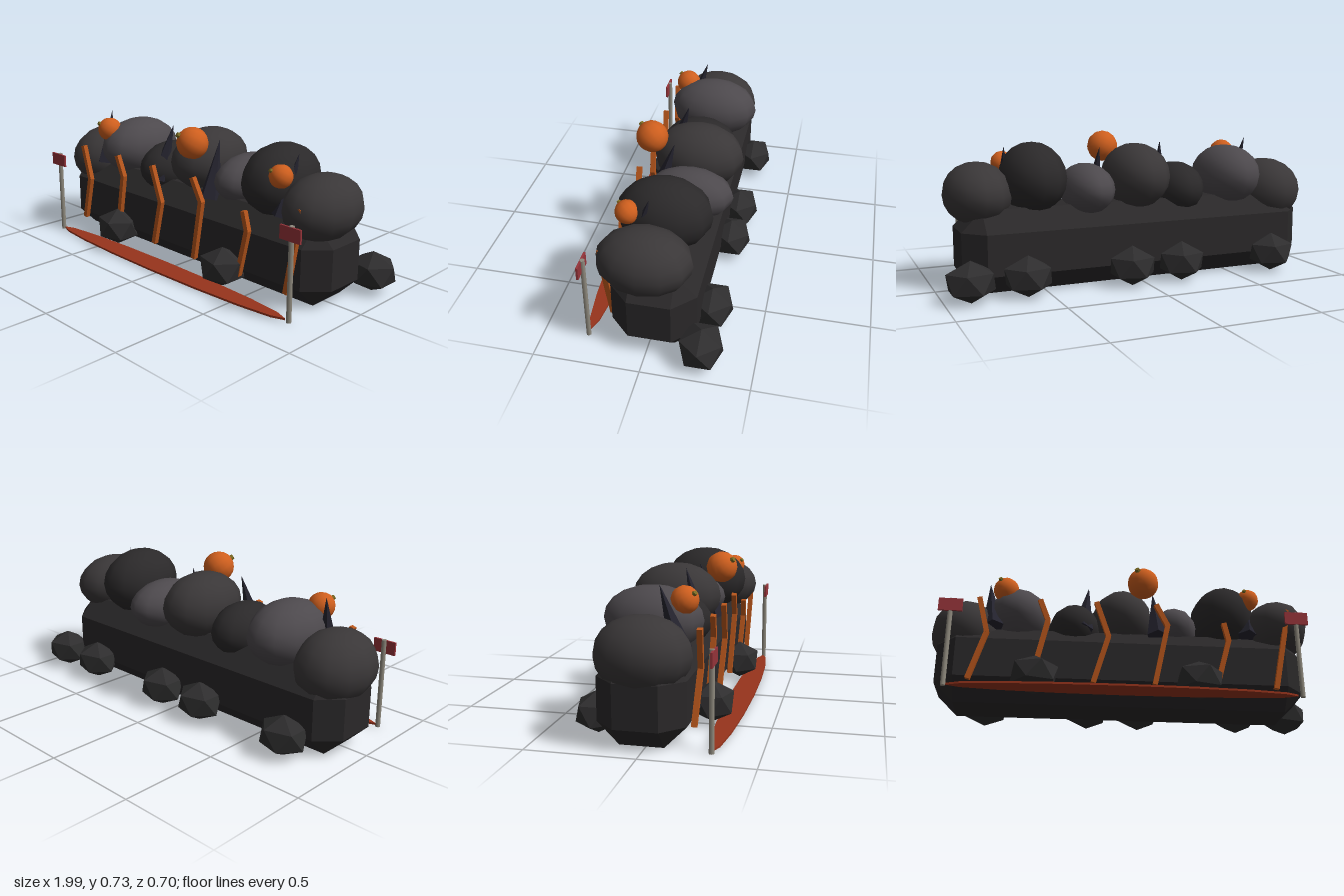
import * as THREE from 'three';
import { ConvexGeometry } from 'three/addons/geometries/ConvexGeometry.js';

const Y = new THREE.Vector3(0, 1, 0);
const mat = (color, flatShading = false) => new THREE.MeshStandardMaterial({ color, flatShading });

export function createModel() {
  const model = new THREE.Group();
  const add = (name, geometry, material, x = 0, y = 0, z = 0, parent = model) => {
    const mesh = new THREE.Mesh(geometry, material);
    mesh.name = name;
    mesh.position.set(x, y, z);
    parent.add(mesh);
    return mesh;
  };
  // Stands a y-aligned geometry between two points
  const between = (name, geometry, material, a, b) => {
    const mesh = add(name, geometry, material);
    mesh.position.copy(a).add(b).multiplyScalar(0.5);
    mesh.quaternion.setFromUnitVectors(Y, b.clone().sub(a).normalize());
    return mesh;
  };

  // Long base block, every edge chamfered
  const half = [0.92, 0.2, 0.2], chamfer = 0.1, corners = [];
  for (const sx of [-1, 1]) for (const sy of [-1, 1]) for (const sz of [-1, 1])
    for (let axis = 0; axis < 3; axis++) {
      const p = half.map((h, i) => (i === axis ? h : h - chamfer));
      corners.push(new THREE.Vector3(p[0] * sx, p[1] * sy, p[2] * sz));
    }
  add('baseBlock', new ConvexGeometry(corners), mat(0x2a2829, true), -0.03, 0.2, -0.02);

  // Row of boulders: centre, radii, colour
  const dark = mat(0x2b292a), mid = mat(0x3a3738), light = mat(0x4d494d);
  const boulderGeo = new THREE.SphereGeometry(1, 12, 10);
  [
    [-0.82, 0.40, -0.02, 0.18, 0.17, 0.22, mid],
    [-0.56, 0.50, -0.04, 0.165, 0.155, 0.235, light],
    [-0.27, 0.44, -0.02, 0.135, 0.135, 0.195, dark],
    [-0.02, 0.52, -0.06, 0.165, 0.165, 0.23, mid],
    [0.25, 0.47, -0.07, 0.13, 0.125, 0.215, light],
    [0.51, 0.53, -0.01, 0.165, 0.175, 0.225, dark],
    [0.78, 0.463, 0.02, 0.168, 0.153, 0.22, mid],
  ].forEach(([x, y, z, rx, ry, rz, m]) => {
    add('boulder', boulderGeo, m, x, y, z).scale.set(rx, ry, rz);
  });

  // Faceted rocks on the ground, two in front and five behind
  const rockGeo = new THREE.IcosahedronGeometry(1, 0);
  rockGeo.rotateZ(-Math.atan(2 / (1 + Math.sqrt(5))));
  rockGeo.scale(0.128, 0.1, 0.112);
  const rockMat = mat(0x2e2d2e, true);
  for (const x of [-0.46, 0.34]) add('frontRock', rockGeo, rockMat, x, 0.1, 0.215);
  for (const x of [-0.72, -0.19, 0.08, 0.61, 0.88]) add('backRock', rockGeo, rockMat, x, 0.1, -0.257);

  // Bent straps running up the front: top, bend and bottom in x, y
  const strapMat = mat(0xb8561c, true);
  [
    [-0.745, 0.5, -0.70, 0.32, -0.775, 0.08],
    [-0.445, 0.5, -0.405, 0.395, -0.475, 0.08],
    [-0.165, 0.5, -0.105, 0.32, -0.175, 0.08],
    [0.135, 0.5, 0.19, 0.39, 0.125, 0.08],
    [0.475, 0.41, 0.495, 0.32, 0.43, 0.08],
    [0.80, 0.5, 0.785, 0.38, 0.725, 0.08],
  ].forEach(([tx, ty, bx, by, fx, fy]) => {
    const top = new THREE.Vector3(tx, ty, 0.212);
    const bend = new THREE.Vector3(bx, by, 0.208);
    const foot = new THREE.Vector3(fx, fy, 0.195);
    for (const [a, b] of [[foot, bend], [bend, top]])
      between('strap', new THREE.BoxGeometry(0.025, a.distanceTo(b) + 0.008, 0.025), strapMat, a, b);
  });

  // Dark spikes leaning back between the boulders
  const spikeGeo = new THREE.ConeGeometry(0.055, 0.3, 5);
  const spikeMat = mat(0x25242f, true);
  for (const [bx, tx, ty] of [[-0.68, -0.715, 0.68], [-0.23, -0.2, 0.68], [0.15, 0.14, 0.66], [0.62, 0.64, 0.68]])
    between('spike', spikeGeo, spikeMat,
      new THREE.Vector3(bx, ty - 0.28, 0.11), new THREE.Vector3(tx, ty, 0.03));

  // Round orange fruit, each with a stub of stem pointing forward
  const fruitMat = mat(0xcf5f1e), stemMat = mat(0x7c6c24, true);
  const stemDir = new THREE.Vector3(-0.42, 0.52, 0.74).normalize();
  for (const [x, y, z, r] of [[-0.625, 0.603, 0.12, 0.065], [0.075, 0.655, 0.157, 0.08], [0.625, 0.595, 0.135, 0.056]]) {
    const centre = new THREE.Vector3(x, y, z);
    const fruit = add('fruit', new THREE.SphereGeometry(r, 12, 10), fruitMat, x, y, z);
    fruit.quaternion.setFromUnitVectors(Y, stemDir);
    between('fruitStem', new THREE.CylinderGeometry(r * 0.16, r * 0.22, r * 0.3, 6), stemMat,
      centre.clone().addScaledVector(stemDir, r * 0.85), centre.clone().addScaledVector(stemDir, r * 1.15));
  }

  // Thin spindle-shaped mat on the ground
  const carpet = add('groundMat', new THREE.CylinderGeometry(1, 1, 0.01, 16), mat(0x98341c, true), -0.03, 0.008, 0.29);
  carpet.rotation.y = 0;
  carpet.scale.set(0.83, 1, 0.061);

  // Marker posts with small signs at both ends
  const postGeo = new THREE.CylinderGeometry(0.012, 0.012, 0.45, 8);
  const signGeo = new THREE.BoxGeometry(0.115, 0.065, 0.01);
  const postMat = mat(0x8f8a7e), signMat = mat(0x97343a, true);
  for (const x of [-0.872, 0.822]) {
    const marker = new THREE.Group();
    marker.name = 'marker';
    marker.position.set(x, 0, 0.29);
    add('post', postGeo, postMat, 0, 0.225, 0, marker);
    add('sign', signGeo, signMat, 0, 0.415, 0.008, marker);
    model.add(marker);
  }
  return model;
}
